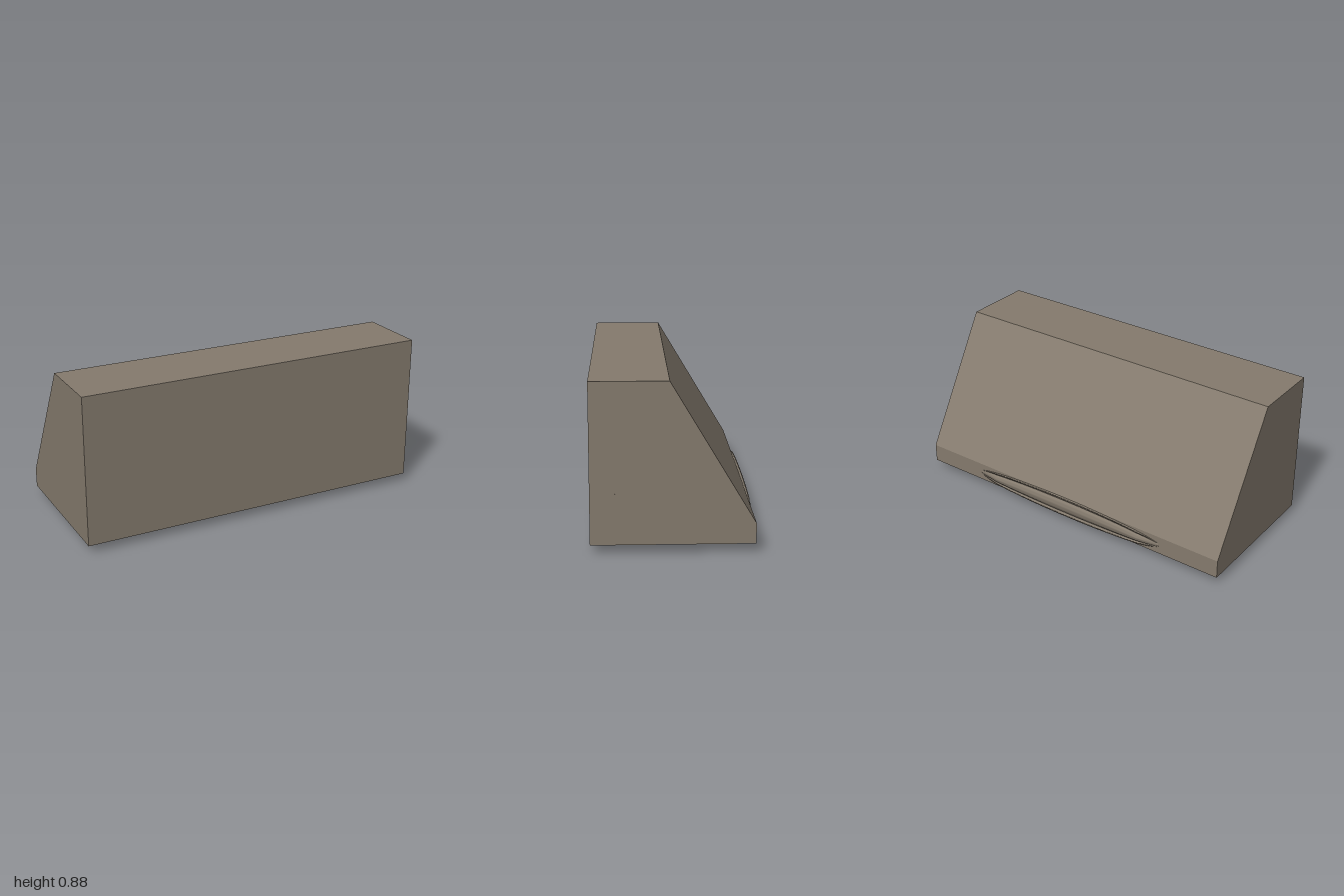
import * as THREE from 'three';
import { ParametricGeometry } from 'three/addons/geometries/ParametricGeometry.js';

const material = new THREE.MeshStandardMaterial({ color: 0x857b6e });
const openMaterial = new THREE.MeshStandardMaterial({ color: 0x857b6e, side: THREE.DoubleSide });

function addPart(group, name, geometry, mat = material) {
  const mesh = new THREE.Mesh(geometry, mat);
  mesh.name = name;
  group.add(mesh);
  return mesh;
}

export function createModel() {
  const model = new THREE.Group();
  model.name = 'wedgeBlock';

  // Main block: side profile (z, y) extruded along the full width
  const profile = new THREE.Shape([
    [0.43, 0.052], [0.43, 0.885], [0.03, 0.885], [-0.405, 0.158], [-0.405, 0.052],
  ].map(([z, y]) => new THREE.Vector2(-z, y)));
  const body = new THREE.ExtrudeGeometry(profile, { depth: 2, bevelEnabled: false });
  body.translate(0, 0, -1).rotateY(Math.PI / 2);
  addPart(model, 'body', body);

  // Shallow oval bulge beneath the rear half, running to a soft point
  const bulgeProfile = [
    [0, 0.003], [0.2, 0.008], [0.4, 0.014], [0.6, 0.022], [0.78, 0.031], [0.92, 0.042], [1, 0.052],
  ].map(([r, y]) => new THREE.Vector2(r, y));
  const bulge = addPart(model, 'undersideBulge', new THREE.LatheGeometry(bulgeProfile, 64), openMaterial);
  bulge.scale.set(0.88, 1, 0.166);
  bulge.position.z = -0.255;

  // Slim curved ridge on the underside bulge
  const ridgeCurve = new THREE.CatmullRomCurve3([
    [0.46, 0.031, -0.225], [0.36, 0.026, -0.215], [0.18, 0.021, -0.185], [0, 0.019, -0.175],
    [-0.18, 0.021, -0.185], [-0.36, 0.026, -0.215], [-0.46, 0.031, -0.225],
  ].map((p) => new THREE.Vector3(...p)));
  addPart(model, 'undersideRidge', new THREE.TubeGeometry(ridgeCurve, 48, 0.01, 8));

  // Spindle moulding on the rear strip: rounded centre between two raised lips
  const section = [[-1, 0], [-0.96, 0.7], [-0.7, 0.3], [-0.4, 0.8], [0, 1],
    [0.4, 0.8], [0.7, 0.3], [0.96, 0.7], [1, 0]];
  const spindle = new ParametricGeometry((u, v, target) => {
    const i = Math.min(Math.floor(v * 8 + 1e-6), 7);
    const f = v * 8 - i;
    const across = THREE.MathUtils.lerp(section[i][0], section[i + 1][0], f);
    const depth = THREE.MathUtils.lerp(section[i][1], section[i + 1][1], f);
    const x = (u * 2 - 1) * 0.64;
    const height = 0.057 * Math.sqrt(Math.max(0, 1 - (x / 0.64) ** 2));
    const swell = 0.024 * Math.min(1, (0.64 - Math.abs(x)) / 0.14);
    target.set(x, 0.104 + across * height, -0.404 - depth * swell);
  }, 64, 16);
  addPart(model, 'rearMoulding', spindle, openMaterial);

  // Row of tiny flush plugs on the left end
  for (const y of [0.315, 0.515, 0.715]) {
    const plug = addPart(model, 'endPlug', new THREE.CylinderGeometry(0.008, 0.008, 0.01, 12));
    plug.rotation.z = Math.PI / 2;
    plug.position.set(0.996, y, 0.31);
  }

  return model;
}
